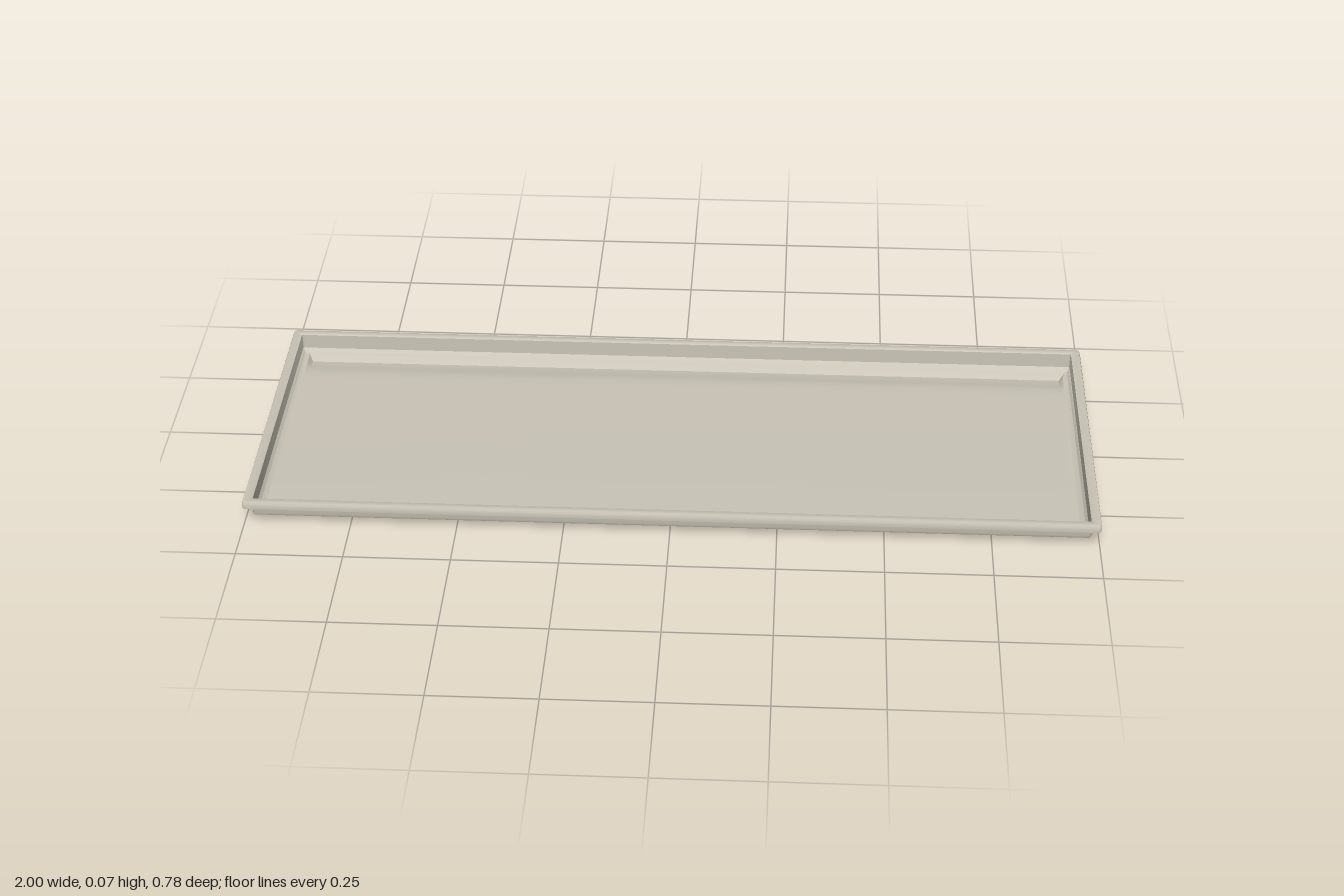
import * as THREE from 'three';
import { toCreasedNormals } from 'three/addons/utils/BufferGeometryUtils.js';

const GUTTER_END = 0.99; // share of the half length reached by the gutter
const GUTTER_DEPTH = 0.013;
// z position (as a share of the half depth) and share of the gutter depth
const GUTTER = [[-1, 1], [-0.96, 0.87], [-0.89, 0.52], [-0.83, 0.17], [-0.77, 0.03], [-0.7, 0], [1, 0]];

function finish(points, index, material, name) {
  const geometry = new THREE.BufferGeometry();
  geometry.setAttribute('position', new THREE.Float32BufferAttribute(points, 3));
  geometry.setIndex(index);
  const mesh = new THREE.Mesh(toCreasedNormals(geometry, 0.6), material);
  mesh.name = name;
  return mesh;
}

// One rectangular ring with small rounded corners; floor rings dip into the gutter at the back
function ring([hx, hz, y, r]) {
  const pts = [];
  const corners = [[1, 1], [-1, 1], [-1, -1], [1, -1]];
  corners.forEach(([sx, sz], c) => {
    for (let i = 0; i <= 4; i++) {
      const a = (c + i / 4) * Math.PI / 2;
      pts.push([sx * (hx - r) + r * Math.cos(a), y, sz * (hz - r) + r * Math.sin(a)]);
    }
    if (c === 2) {
      const yy = r === 0 ? y - GUTTER_DEPTH : y;
      pts.push([-GUTTER_END * hx, yy, -hz], [GUTTER_END * hx, yy, -hz]);
    }
  });
  return pts;
}

// Walls and folded rim: rings from the underside, over the lip, down to the inner floor
function buildWalls(section, material) {
  const rings = section.map(ring);
  const n = rings[0].length;
  const index = [];
  for (let j = 0; j < rings.length - 1; j++) {
    for (let i = 0; i < n; i++) {
      const a = j * n + i, b = j * n + (i + 1) % n;
      index.push(a, a + n, b, b, a + n, b + n);
    }
  }
  return finish(rings.flat(2), index, material, 'wallsAndRim');
}

// Floor sheet with a sunken gutter along the back edge
function buildFloor([hx, hz, y], up, material, name) {
  const columns = [-1, -GUTTER_END, GUTTER_END, 1];
  const points = [], index = [];
  for (const [v, drop] of GUTTER) {
    for (const u of columns) {
      points.push(u * hx, y - (Math.abs(u) < 1 ? drop * GUTTER_DEPTH : 0), v * hz);
    }
  }
  const n = columns.length;
  for (let j = 0; j < GUTTER.length - 1; j++) {
    for (let i = 0; i < n - 1; i++) {
      const a = j * n + i, b = a + 1, c = a + n, d = c + 1;
      if (up) index.push(a, c, b, b, c, d);
      else index.push(a, b, c, b, d, c);
    }
  }
  return finish(points, index, material, name);
}

export function createModel() {
  const group = new THREE.Group();
  group.name = 'tray';
  const beige = new THREE.MeshStandardMaterial({ color: 0xc9c4b6 });
  beige.name = 'warm grey';

  // half length, half depth, height, corner radius
  const section = [
    [0.96, 0.338, 0.0135, 0],
    [0.972, 0.36, 0.0165, 0.004],
    [0.978, 0.368, 0.02, 0.006],
    [0.98, 0.37, 0.026, 0.006],
    [0.98, 0.37, 0.061, 0.006],
    [0.995, 0.385, 0.061, 0.006],
    [0.995, 0.385, 0.05, 0.006],
    [1, 0.39, 0.05, 0.008],
    [1, 0.39, 0.062, 0.008],
    [0.9985, 0.3885, 0.0655, 0.008],
    [0.995, 0.385, 0.067, 0.006],
    [0.98, 0.37, 0.067, 0.005],
    [0.977, 0.367, 0.065, 0.004],
    [0.976, 0.366, 0.028, 0.004],
    [0.97, 0.358, 0.0205, 0.003],
    [0.958, 0.337, 0.0175, 0],
  ];
  group.add(buildWalls(section, beige));
  group.add(buildFloor(section[0], false, beige, 'floorUnderside'));
  group.add(buildFloor(section[section.length - 1], true, beige, 'floorTop'));
  return group;
}
